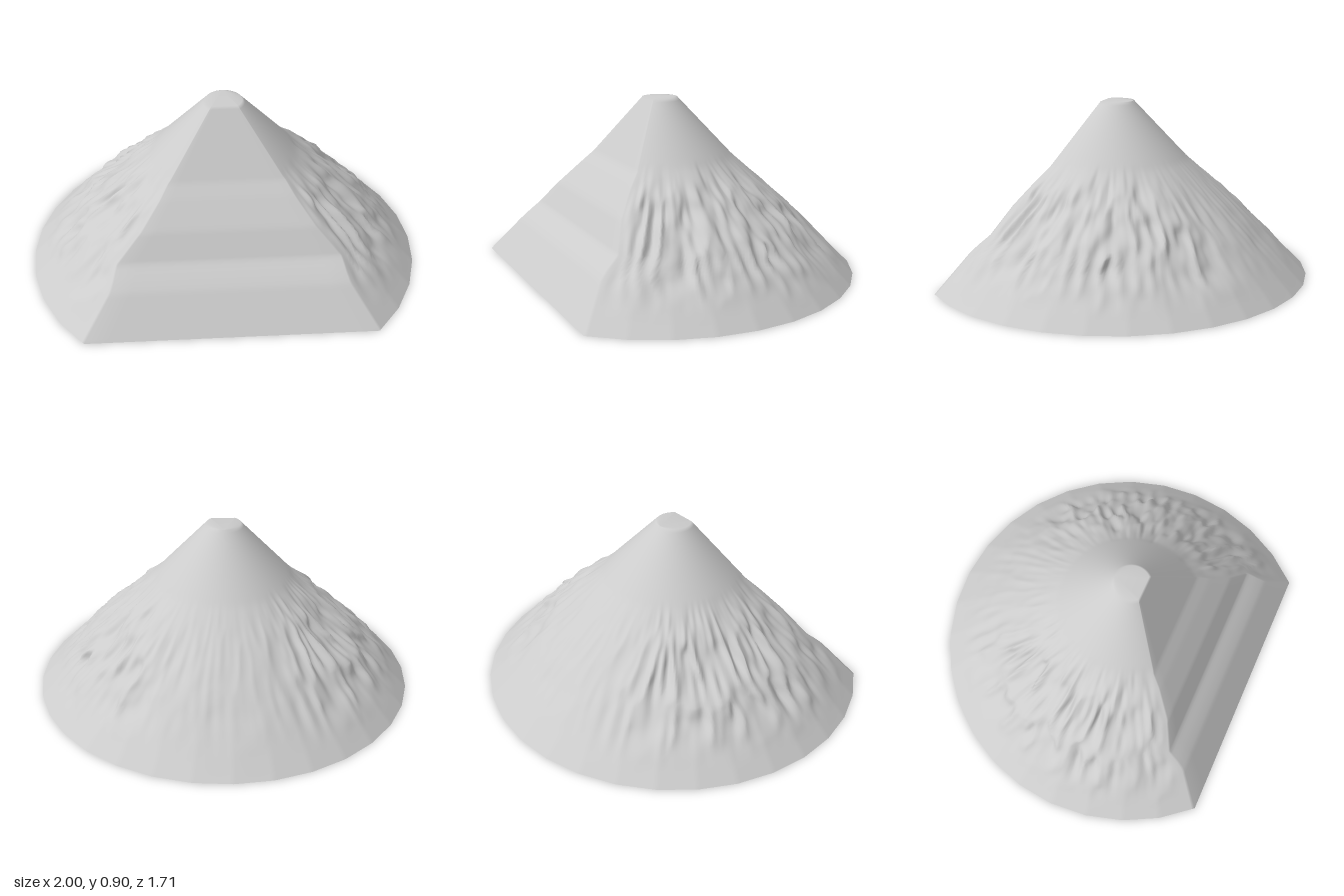
import * as THREE from 'three';
import { mergeGeometries, mergeVertices } from 'three/addons/utils/BufferGeometryUtils.js';

const HEIGHT = 0.9, BASE_R = 1, TOP_R = 0.09, CZ = 0.145;
const SIDES = 32, ARC = 24, SUB = 12, ROWS = 64, CUT_COLS = 12;
const STEP = (Math.PI * 2) / SIDES;

const { lerp, smoothstep, clamp } = THREE.MathUtils;

// Slightly concave radius of the cone, and depth of the terraced cut face, by height
const RADIUS = [[0, BASE_R], [0.25, 0.75], [0.4, 0.592], [0.5, 0.481], [0.6, 0.37], [0.75, 0.23], [HEIGHT, TOP_R]];
const CUT = [[0, 0.852], [0.19, 0.718], [0.23, 0.678], [0.28, 0.621], [0.33, 0.593],
  [0.41, 0.548], [0.53, 0.455], [0.59, 0.402], [HEIGHT, 0.209]];

function profile(table, y) {
  const k = Math.max(1, table.findIndex(([h]) => h >= y - 1e-9));
  const [y0, v0] = table[k - 1], [y1, v1] = table[k];
  return lerp(v0, v1, clamp((y - y0) / (y1 - y0), 0, 1));
}

// Angle of the front corner, where the cut meets the cone
const cornerAngle = (y) => Math.asin((profile(CUT, y) - CZ) / profile(RADIUS, y));

// Seeded smooth value noise in two dimensions, from -1 to 1
function hash(i, j) {
  let n = Math.imul(i, 374761393) + Math.imul(j, 668265263) + 1447;
  n = Math.imul(n ^ (n >>> 13), 1274126177);
  return ((n ^ (n >>> 16)) >>> 0) / 2147483648 - 1;
}
function noise(u, v) {
  const i = Math.floor(u), j = Math.floor(v);
  const s = smoothstep(u - i, 0, 1), t = smoothstep(v - j, 0, 1);
  return lerp(lerp(hash(i, j), hash(i + 1, j), s), lerp(hash(i, j + 1), hash(i + 1, j + 1), s), t);
}

// Rocky gullies, strongest on the left and right flanks at mid height
function rockOffset(angle, y) {
  const start = cornerAngle(y);
  const band = smoothstep(y, 0.05, 0.24) * (1 - smoothstep(y, 0.42, 0.64));
  const side = 0.25 + 0.75 * smoothstep(Math.abs(Math.cos(angle)), 0.3, 0.8);
  const corner = smoothstep(start - angle, 0, 0.14) * smoothstep(angle + Math.PI + start, 0, 0.14);
  const bend = noise(angle * 4, y * 9) * 0.3;
  const ridges = 0.45 - 1.3 * Math.abs(noise(angle * 10 + bend, y * 5));
  const fine = noise(angle * 24 + bend, y * 12 + 7);
  const ledges = noise(angle * 11 + 40, y * 18);
  return band * side * corner * (ridges * 0.036 + fine * 0.014 + ledges * 0.011);
}

// Indexed grid from a function of column and row
function gridGeometry(cols, rows, point) {
  const positions = [], index = [];
  for (let j = 0; j <= rows; j++) for (let i = 0; i <= cols; i++) positions.push(...point(i, j));
  for (let j = 0; j < rows; j++) for (let i = 0; i < cols; i++) {
    const a = j * (cols + 1) + i, c = a + cols + 1;
    index.push(a, a + 1, c + 1, a, c + 1, c);
  }
  const g = new THREE.BufferGeometry();
  g.setAttribute('position', new THREE.Float32BufferAttribute(positions, 3));
  g.setIndex(index);
  return g;
}

// The row after the rim collapses to its rear point and closes the flat summit
const SUMMIT = [0, HEIGHT, CZ - TOP_R];

function flankPoint(i, j) {
  if (j > ROWS) return SUMMIT;
  const y = (HEIGHT * j) / ROWS, start = cornerAngle(y);
  const angle = lerp(start, -Math.PI - start, i / (ARC * SUB));
  // polygonal at the foot, round higher up
  const off = ((i % SUB) / SUB - 0.5) * STEP;
  const facet = lerp(Math.cos(STEP / 2) / Math.cos(off), 1, smoothstep(y, 0, 0.3));
  const r = profile(RADIUS, y) * facet + rockOffset(angle, y);
  return [r * Math.cos(angle), y, CZ + r * Math.sin(angle)];
}

function cutPoint(i, j) {
  if (j > ROWS) return SUMMIT;
  const y = (HEIGHT * j) / ROWS, start = cornerAngle(y), r = profile(RADIUS, y);
  return [r * Math.cos(start) * ((2 * i) / CUT_COLS - 1), y, CZ + r * Math.sin(start)];
}

// Flanks, cut face and summit welded into one softly shaded skin
function slopesGeometry() {
  const g = mergeVertices(mergeGeometries([
    gridGeometry(ARC * SUB, ROWS + 1, flankPoint),
    gridGeometry(CUT_COLS, ROWS + 1, cutPoint),
  ]));
  g.computeVertexNormals();
  return g;
}

// Flat underside: a disc with its front cut off
function baseGeometry() {
  const points = [];
  for (let i = 0; i <= ARC; i++) {
    const a = Math.PI / 4 - i * STEP;
    points.push(new THREE.Vector2(BASE_R * Math.cos(a), CZ + BASE_R * Math.sin(a)));
  }
  return new THREE.ShapeGeometry(new THREE.Shape(points)).rotateX(Math.PI / 2);
}

export function createModel() {
  const stone = new THREE.MeshStandardMaterial({ name: 'pale grey stone', color: 0xcccccc });
  const group = new THREE.Group();
  group.name = 'mountain';
  const add = (name, geometry) => {
    const mesh = new THREE.Mesh(geometry, stone);
    mesh.name = name;
    group.add(mesh);
  };
  add('slopes', slopesGeometry());
  add('base', baseGeometry());
  return group;
}
